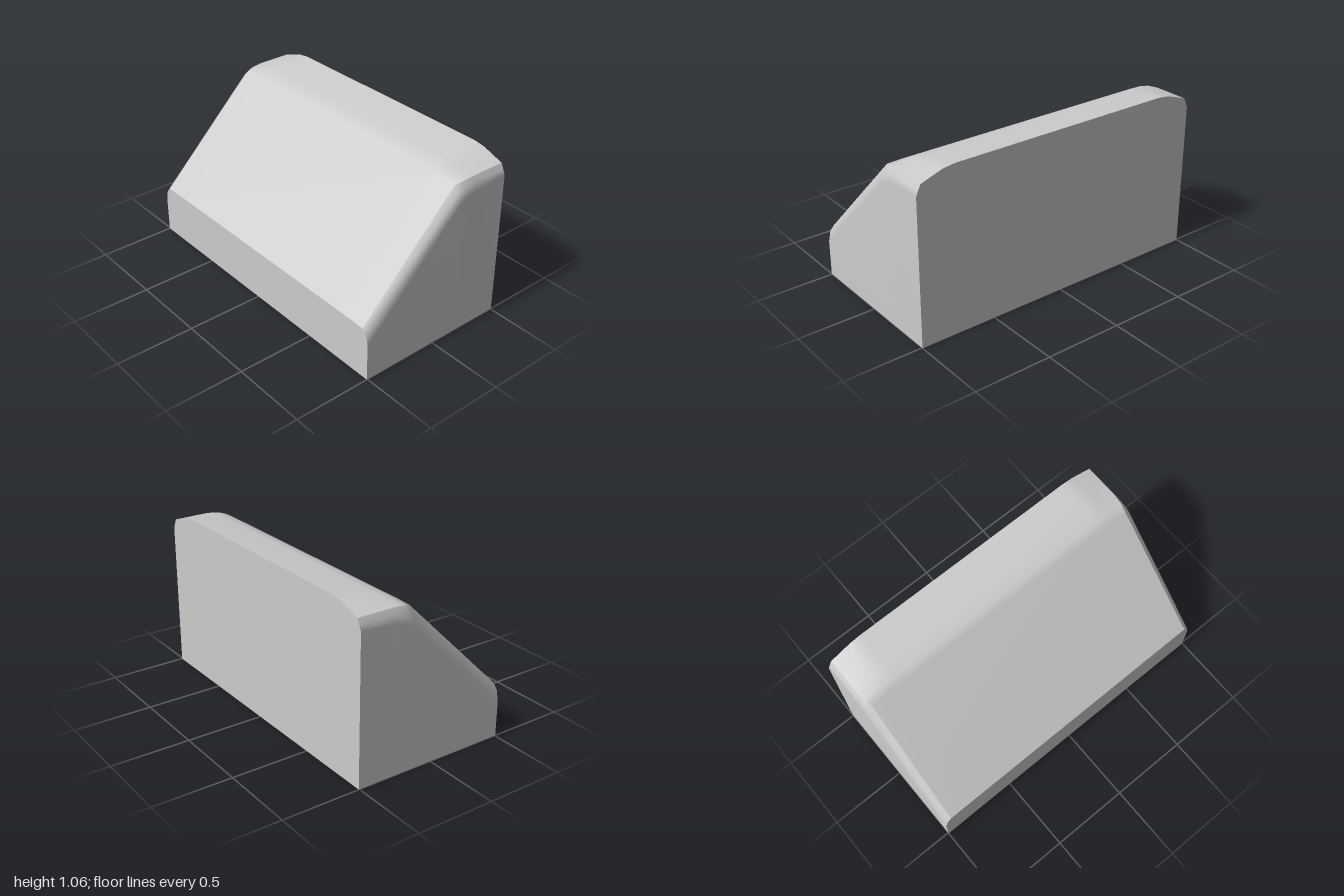
import * as THREE from 'three';

// Half cross-sections (z, y) from the foot of the side wall to the crown, one per x
const stations = [
  { x: -0.505, half: [[1, 0], [1, 0.23], [0.985, 0.3], [0.955, 0.332], [0.86, 0.335], [0.76, 0.335]] },
  { x: 0.15, half: [[1, 0], [1, 0.87], [0.985, 0.945], [0.95, 0.982], [0.86, 0.985], [0.76, 0.985]] },
  { x: 0.2, half: [[1, 0], [1, 0.9], [0.987, 0.96], [0.963, 0.995], [0.86, 1.007], [0.76, 1.01]] },
  { x: 0.27, half: [[1, 0], [1, 0.92], [0.988, 0.968], [0.969, 1.003], [0.84, 1.026], [0.76, 1.03]] },
  { x: 0.505, half: [[1, 0], [1, 0.935], [0.987, 0.968], [0.97, 1.003], [0.83, 1.05], [0.75, 1.06]] },
];

// Full section: front half followed by its mirror
const sections = stations.map(({ x, half }) => [
  ...half.map(([z, y]) => [x, y, z]),
  ...half.slice().reverse().map(([z, y]) => [x, y, -z]),
]);

function makeGeometry(points, index) {
  const geometry = new THREE.BufferGeometry();
  geometry.setAttribute('position', new THREE.Float32BufferAttribute(points.flat(), 3));
  geometry.setIndex(index);
  geometry.computeVertexNormals();
  return geometry;
}

// Smooth skin over the chosen run of section points, along all stations
function skin(ids) {
  const n = ids.length;
  const points = sections.flatMap((section) => ids.map((id) => section[id]));
  const index = [];
  for (let i = 0; i < sections.length - 1; i++) {
    for (let j = 0; j < n - 1; j++) {
      const a = i * n + j;
      const b = a + n;
      index.push(a, b, a + 1, b, b + 1, a + 1);
    }
  }
  return makeGeometry(points, index);
}

// Flat end closing a section
function cap(section, flip) {
  const index = [];
  for (let i = 1; i < section.length - 1; i++) {
    index.push(0, flip ? i + 1 : i, flip ? i : i + 1);
  }
  return makeGeometry(section, index);
}

export function createModel() {
  const group = new THREE.Group();
  group.name = 'slopedBlock';
  const grey = new THREE.MeshStandardMaterial({ color: 0xcccccc });
  grey.name = 'light grey';

  const add = (name, geometry) => {
    const mesh = new THREE.Mesh(geometry, grey);
    mesh.name = name;
    group.add(mesh);
  };

  // Side walls with their rounded bevels, split from the top by a crease
  add('frontWall', skin([0, 1, 2, 3]));
  add('slopeAndCrown', skin([3, 4, 5, 6, 7, 8]));
  add('backWall', skin([8, 9, 10, 11]));
  add('base', skin([11, 0]));

  // Low and tall ends
  add('lowEnd', cap(sections[0], false));
  add('tallEnd', cap(sections[sections.length - 1], true));
  return group;
}
